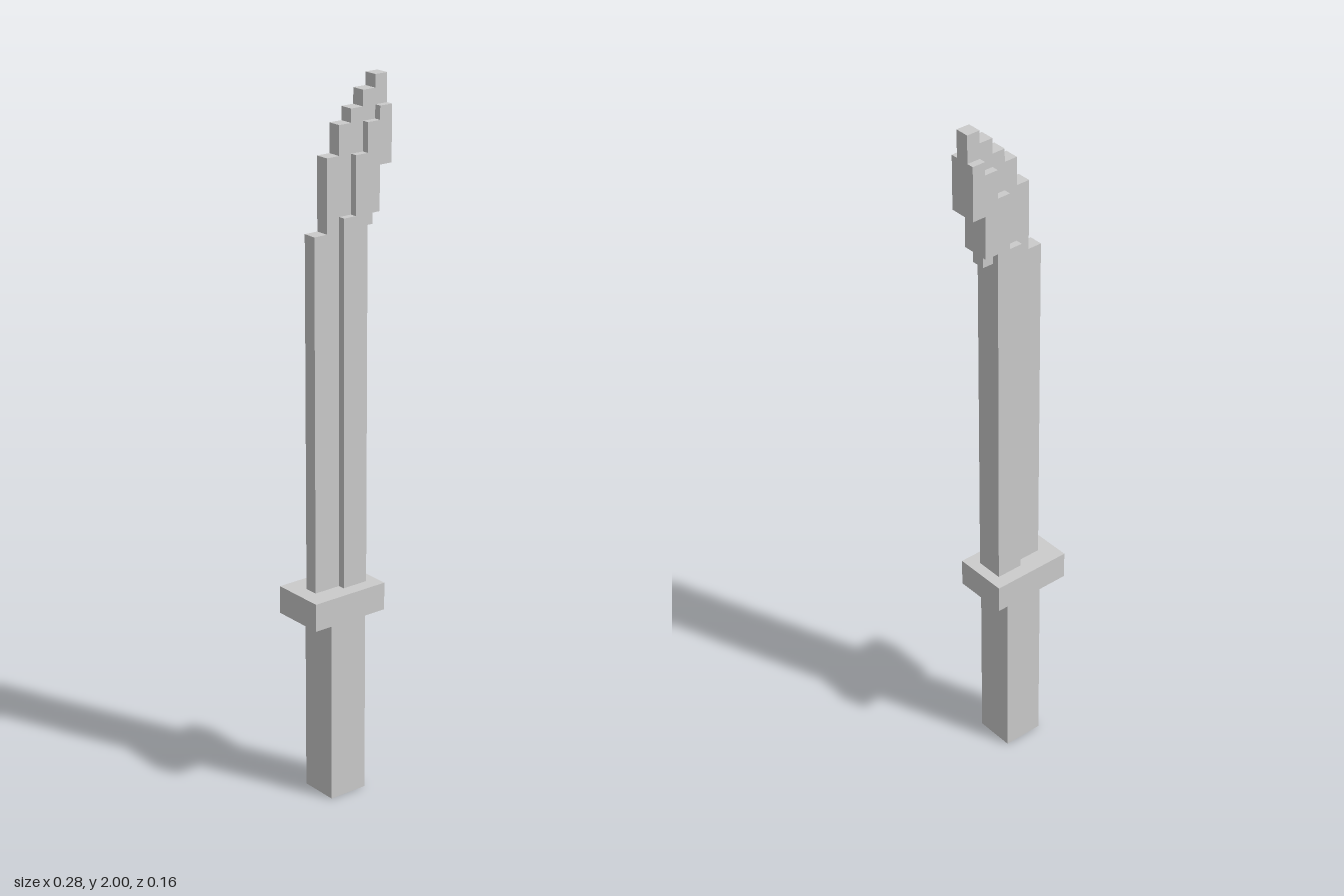
import * as THREE from 'three';

const material = new THREE.MeshStandardMaterial({ color: 0xcccccc, flatShading: true });

// Box given by its min and max on each axis
function block(name, x0, x1, y0, y1, halfDepth) {
  const mesh = new THREE.Mesh(new THREE.BoxGeometry(x1 - x0, y1 - y0, halfDepth * 2), material);
  mesh.name = name;
  mesh.position.set((x0 + x1) / 2, (y0 + y1) / 2, 0);
  return mesh;
}

// Side outline extruded evenly to both sides of z = 0
function plate(name, points, halfDepth) {
  const shape = new THREE.Shape(points.map(([x, y]) => new THREE.Vector2(x, y)));
  const geometry = new THREE.ExtrudeGeometry(shape, { depth: halfDepth * 2, bevelEnabled: false });
  geometry.translate(0, 0, -halfDepth);
  const mesh = new THREE.Mesh(geometry, material);
  mesh.name = name;
  return mesh;
}

// Ascending stair outline: edges has one more entry than tops
function stairs(edges, tops) {
  return tops.flatMap((y, i) => [[edges[i], y], [edges[i + 1], y]]);
}

export function createModel() {
  const group = new THREE.Group();
  group.name = 'steppedSword';

  const guardBottom = 0.535, guardTop = 0.614;
  const columns = [-0.097, -0.056, -0.016, 0.023, 0.062, 0.102, 0.141];

  group.add(block('handle', -0.072, 0.045, 0, guardBottom, 0.057));
  group.add(block('guard', -0.142, 0.094, guardBottom, guardTop, 0.079));

  // Thick core of the blade, stepping toward the tip
  group.add(plate('bladeCore', [
    [columns[2], guardTop],
    ...stairs(columns.slice(2), [1.645, 1.805, 1.885, 1.922]),
    [columns[6], 1.768], [columns[5], 1.768],
    [columns[5], 1.645], [columns[4], 1.645],
    [columns[4], guardTop],
  ], 0.04));

  // Thin cutting edge, its inner border buried in the core
  group.add(plate('bladeEdge', [
    [columns[0], guardTop],
    ...stairs(columns, [1.605, 1.805, 1.885, 1.922, 1.965, 2]),
    [columns[6], 1.922], [0.12, 1.85], [0, 1.5], [0, guardTop],
  ], 0.02));

  // Small barb under the tip
  group.add(block('barb', columns[4], 0.094, 1.608, 1.645, 0.02));

  return group;
}
